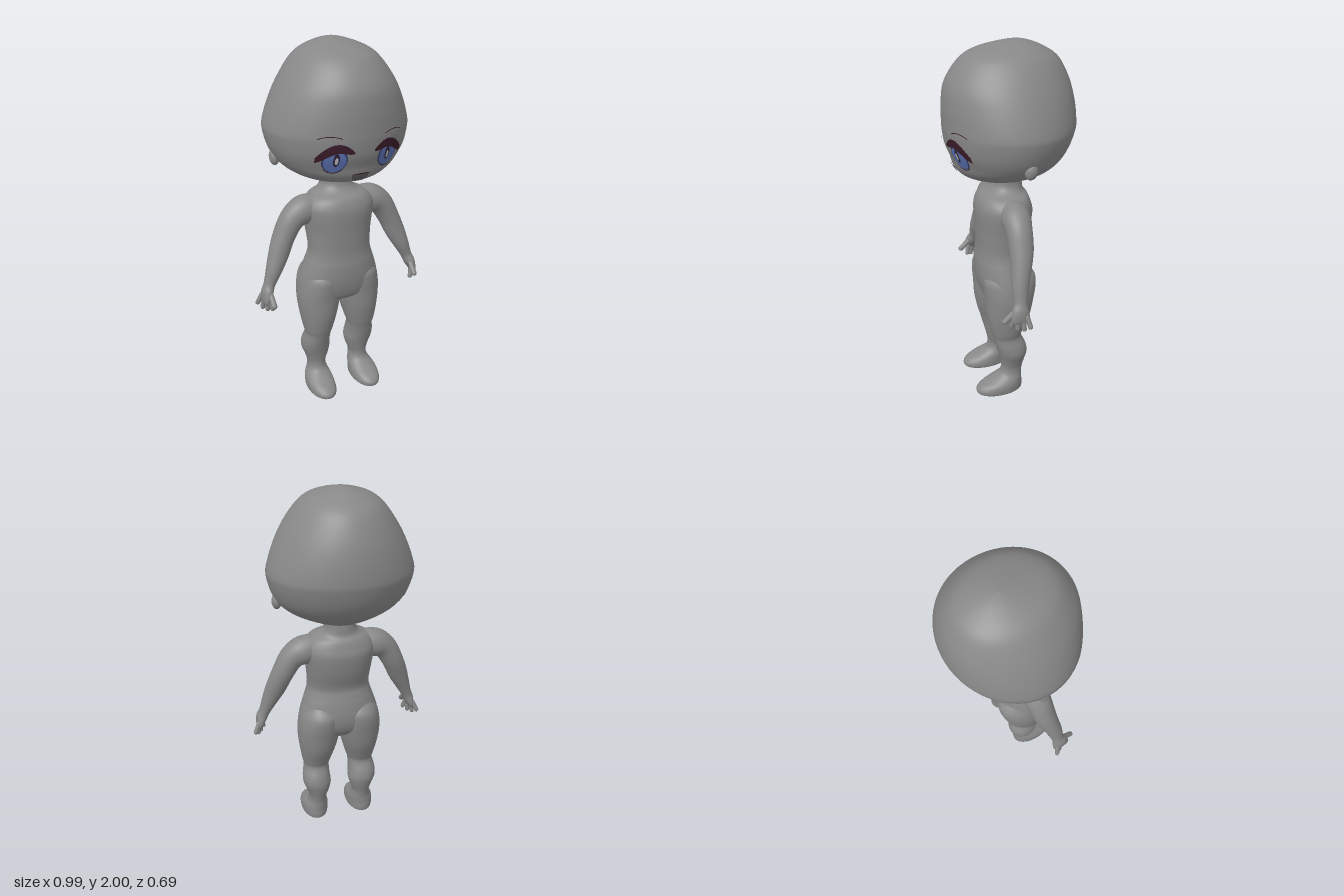
import * as THREE from 'three';

const mat = (name, color) => {
  const m = new THREE.MeshStandardMaterial({ color });
  m.name = name;
  return m;
};

// Uniform Catmull-Rom through rows of numbers, giving `sub` rows per span.
function smoothRows(rows, sub) {
  const out = [];
  const last = rows.length - 1;
  for (let i = 0; i < last; i++) {
    const [a, b, c, d] = [rows[Math.max(i - 1, 0)], rows[i], rows[i + 1], rows[Math.min(i + 2, last)]];
    for (let s = 0; s < sub; s++) {
      const t = s / sub;
      out.push(b.map((v, k) => v + 0.5 * t * (c[k] - a[k]
        + t * (2 * a[k] - 5 * v + 4 * c[k] - d[k] + t * (3 * (v - c[k]) + d[k] - a[k])))));
    }
  }
  out.push(rows[last]);
  return out;
}

// Closed skin over oval rings [cx, cy, cz, rx, rz], listed from top to bottom.
// tilt turns each ring square to the path; power above 2 squares the oval.
function loft(rings, { seg = 36, tilt = false, power = 2 } = {}) {
  const pos = [], index = [], n = rings.length;
  const centre = (i) => new THREE.Vector3(...rings[i].slice(0, 3));
  const bend = (v) => Math.sign(v) * Math.abs(v) ** (2 / power);
  for (let i = 0; i < n; i++) {
    const T = new THREE.Vector3(0, -1, 0);
    if (tilt) T.subVectors(centre(Math.min(i + 1, n - 1)), centre(Math.max(i - 1, 0))).normalize();
    const B = new THREE.Vector3(0, 0, 1).addScaledVector(T, -T.z).normalize();
    const A = new THREE.Vector3().crossVectors(B, T);
    for (let j = 0; j < seg; j++) {
      const a = (j / seg) * Math.PI * 2;
      const p = centre(i).addScaledVector(A, rings[i][3] * bend(Math.cos(a)))
        .addScaledVector(B, rings[i][4] * bend(Math.sin(a)));
      pos.push(p.x, p.y, p.z);
      if (i < n - 1) {
        const k = (j + 1) % seg, q = i * seg;
        index.push(q + j, q + k, q + seg + j, q + k, q + seg + k, q + seg + j);
      }
    }
  }
  // End caps
  pos.push(...rings[0].slice(0, 3), ...rings[n - 1].slice(0, 3));
  const top = n * seg, q = (n - 1) * seg;
  for (let j = 0; j < seg; j++) {
    const k = (j + 1) % seg;
    index.push(top, k, j, top + 1, q + j, q + k);
  }
  return surface(pos, index);
}

function surface(pos, index) {
  const g = new THREE.BufferGeometry();
  g.setAttribute('position', new THREE.Float32BufferAttribute(pos, 3));
  g.setIndex(index);
  g.computeVertexNormals();
  return g;
}

// Extents [y, x0, x1, z0, z1] to a ring
const ring = ([y, x0, x1, z0, z1]) => [(x0 + x1) / 2, y, (z0 + z1) / 2, (x1 - x0) / 2, (z1 - z0) / 2];
// Symmetric extents [y, halfWidth, z0, z1] to a ring
const midRing = ([y, w, z0, z1]) => ring([y, -w, w, z0, z1]);

function mirrored(geo) {
  const g = geo.clone().scale(-1, 1, 1);
  const ix = g.index.array;
  for (let i = 0; i < ix.length; i += 3) [ix[i], ix[i + 1]] = [ix[i + 1], ix[i]];
  g.computeVertexNormals();
  return g;
}

const headRings = smoothRows([
  [2.0, 0.005, -0.05, -0.04], [1.985, 0.075, -0.12, 0.05], [1.95, 0.165, -0.2, 0.18],
  [1.9, 0.225, -0.265, 0.255], [1.8, 0.295, -0.315, 0.32], [1.7, 0.345, -0.34, 0.337],
  [1.6, 0.38, -0.348, 0.338], [1.55, 0.382, -0.34, 0.336], [1.48, 0.365, -0.315, 0.326],
  [1.42, 0.335, -0.28, 0.303], [1.37, 0.285, -0.235, 0.288], [1.33, 0.215, -0.18, 0.25],
  [1.3, 0.13, -0.125, 0.15], [1.28, 0.04, -0.06, 0.04],
].map(midRing), 5);

// Front surface of the head at (x, y)
function headZ(x, y) {
  const i = Math.max(1, headRings.findIndex((r) => r[1] <= y));
  const a = headRings[i - 1], b = headRings[i], t = (a[1] - y) / (a[1] - b[1]);
  const [, , cz, rx, rz] = a.map((v, k) => v + (b[k] - v) * t);
  return cz + rz * Math.sqrt(Math.max(0, 1 - (x / rx) ** 2));
}

// Thin plate lying on the face, between lo(t) and hi(t) for t from -1 to 1
function facePlate(cx, w, lo, hi, lift, nu = 20, nv = 6) {
  const pos = [], index = [];
  for (let i = 0; i <= nu; i++) {
    const t = -Math.cos((i / nu) * Math.PI), x = cx + w * t;
    for (let j = 0; j <= nv; j++) {
      const y = lo(t) + (hi(t) - lo(t)) * (j / nv);
      pos.push(x, y, headZ(x, y) + lift);
      if (i < nu && j < nv) {
        const a = i * (nv + 1) + j, b = a + nv + 1;
        index.push(a, b, b + 1, a, b + 1, a + 1);
      }
    }
  }
  return surface(pos, index);
}

function faceOval(cx, cy, w, h, lift) {
  const arc = (t) => h * Math.sqrt(Math.max(0, 1 - t * t));
  return facePlate(cx, w, (t) => cy - arc(t), (t) => cy + arc(t), lift);
}

// Rounded finger between two points
function finger(from, to, r) {
  const a = new THREE.Vector3(...from), b = new THREE.Vector3(...to);
  const dir = b.clone().sub(a);
  const g = new THREE.CapsuleGeometry(r, dir.length(), 6, 12);
  g.applyQuaternion(new THREE.Quaternion().setFromUnitVectors(new THREE.Vector3(0, 1, 0), dir.normalize()));
  return g.translate(...a.add(b).multiplyScalar(0.5).toArray());
}

export function createModel() {
  const skin = mat('skin grey', 0x888888);
  const lashColor = mat('lash maroon', 0x3a1c2a);
  const irisColor = mat('iris blue', 0x5c72b4);
  const rimColor = mat('iris rim navy', 0x35406f);
  const pupilColor = mat('pupil dark', 0x2a2438);
  const glintColor = mat('glint pale', 0xc4bfc8);
  const mouthColor = mat('mouth grey', 0x606060);

  const model = new THREE.Group();
  model.name = 'figure';
  const add = (name, geo, material) => {
    const m = new THREE.Mesh(geo, material);
    m.name = name;
    model.add(m);
  };
  const pair = (name, geo, material) => {
    add(name + 'Left', geo, material);
    add(name + 'Right', mirrored(geo), material);
  };

  add('head', loft(headRings, { seg: 64 }), skin);

  // Neck, chest and hips
  add('torso', loft(smoothRows([
    [1.31, 0.085, -0.07, 0.08], [1.25, 0.085, -0.075, 0.085], [1.215, 0.11, -0.08, 0.11],
    [1.19, 0.16, -0.1, 0.15], [1.15, 0.192, -0.115, 0.172], [1.1, 0.197, -0.125, 0.18],
    [1.0, 0.183, -0.11, 0.177], [0.9, 0.175, -0.08, 0.175], [0.85, 0.183, -0.087, 0.178],
    [0.8, 0.2, -0.1, 0.184], [0.72, 0.225, -0.11, 0.183], [0.65, 0.233, -0.1, 0.172],
    [0.6, 0.2, -0.07, 0.15], [0.56, 0.08, -0.02, 0.09],
  ].map(midRing), 5), { seg: 56, power: 2.2 }), skin);

  // Legs running down into the feet
  pair('leg', loft(smoothRows([
    [0.8, 0.05, 0.17, -0.06, 0.1], [0.74, 0.005, 0.213, -0.115, 0.165], [0.68, 0, 0.232, -0.121, 0.172],
    [0.6, 0, 0.24, -0.107, 0.166], [0.5, 0.02, 0.231, -0.085, 0.16], [0.4, 0.048, 0.215, -0.042, 0.14],
    [0.36, 0.06, 0.206, -0.033, 0.128], [0.3, 0.06, 0.218, -0.058, 0.113], [0.25, 0.055, 0.218, -0.065, 0.1],
    [0.2, 0.065, 0.2, -0.055, 0.088], [0.15, 0.082, 0.186, -0.042, 0.082], [0.11, 0.078, 0.19, -0.036, 0.095],
    [0.08, 0.068, 0.207, -0.036, 0.145], [0.055, 0.064, 0.217, -0.036, 0.2], [0.03, 0.062, 0.219, -0.038, 0.232],
    [0.008, 0.064, 0.217, -0.036, 0.234], [0, 0.07, 0.212, -0.03, 0.225],
  ].map(ring), 4), { seg: 40, power: 2.1 }), skin);

  // Arms ending in palms
  pair('arm', loft(smoothRows([
    [0.08, 1.13, 0.02, 0.06, 0.06], [0.19, 1.12, 0.02, 0.08, 0.078], [0.262, 1.08, 0.025, 0.068, 0.07],
    [0.315, 0.99, 0.03, 0.06, 0.064], [0.353, 0.9, 0.045, 0.056, 0.054], [0.388, 0.82, 0.06, 0.044, 0.046],
    [0.42, 0.745, 0.068, 0.031, 0.036], [0.437, 0.705, 0.076, 0.03, 0.046],
    [0.45, 0.665, 0.078, 0.02, 0.05], [0.455, 0.645, 0.078, 0.01, 0.04],
  ], 5), { seg: 28, tilt: true }), skin);

  // Fingers, then thumb
  const tips = [[0.425, 0.62, 0.118], [0.444, 0.61, 0.092], [0.462, 0.612, 0.063], [0.48, 0.63, 0.036]];
  tips.forEach(([x, y, z], i) =>
    pair('finger' + (i + 1), finger([0.44 + i * 0.006, 0.68, 0.107 - i * 0.02], [x, y, z], 0.013), skin));
  pair('thumb', finger([0.43, 0.71, 0.1], [0.428, 0.655, 0.158], 0.015), skin);

  pair('ear', new THREE.SphereGeometry(1, 24, 16).scale(0.026, 0.043, 0.033)
    .rotateX(-0.2).translate(0.338, 1.425, -0.01), skin);

  // Eyes, layered outwards
  pair('irisRim', faceOval(0.142, 1.468, 0.06, 0.066, 0.003), rimColor);
  pair('iris', faceOval(0.142, 1.464, 0.053, 0.058, 0.005), irisColor);
  pair('pupil', faceOval(0.138, 1.474, 0.015, 0.036, 0.007), pupilColor);
  pair('glint', faceOval(0.138, 1.47, 0.008, 0.02, 0.009), glintColor);
  const lashTop = (t) => 1.557 - 0.056 * t * t - 0.012 * t;
  pair('upperLash', facePlate(0.143, 0.09, (t) => lashTop(t) - 0.008 - 0.03 * (1 - t ** 4) - 0.01 * (t + 1), lashTop, 0.009), lashColor);
  const lowerLine = (t) => 1.398 + 0.02 * t * t;
  pair('lowerLash', facePlate(0.145, 0.045, lowerLine, (t) => lowerLine(t) + 0.004, 0.006, 12, 1), lashColor);
  const browLine = (t) => 1.594 - 0.012 * t * t;
  pair('eyebrow', facePlate(0.17, 0.055, browLine, (t) => browLine(t) + 0.004, 0.005, 12, 1), lashColor);

  // Mouth
  add('mouth', facePlate(0, 0.046, (t) => 1.336 + 0.034 * t ** 4, () => 1.382, 0.006), mouthColor);
  add('mouthLine', facePlate(0, 0.047, () => 1.382, (t) => 1.388 - 0.003 * t * t, 0.008, 12, 1), lashColor);

  return model;
}
